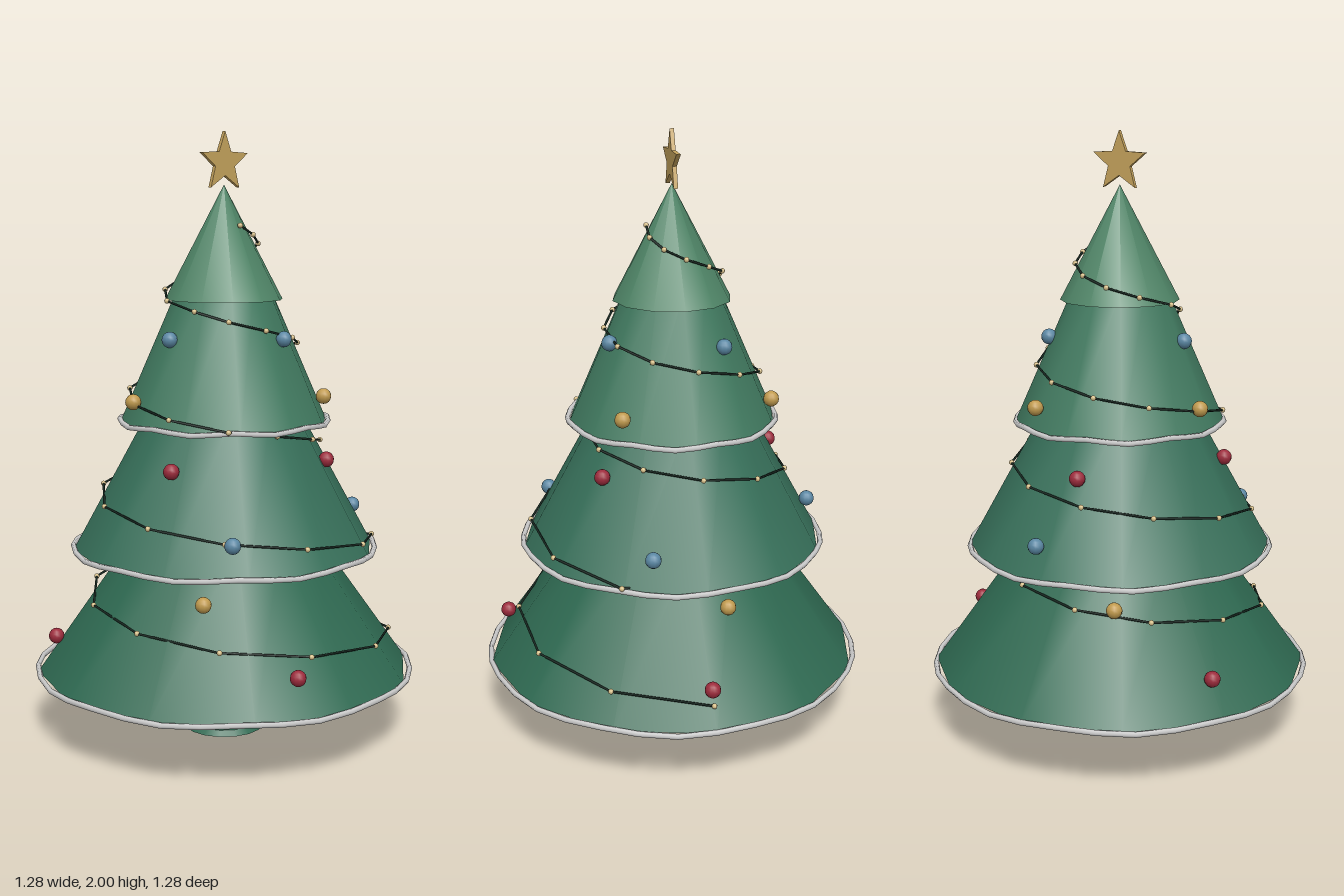
import * as THREE from 'three';

// Tiers from bottom to top: base height, base radius, top height, top radius
const TIERS = [
  { y: 0.22, r: 0.63, top: 0.70, topR: 0.288, color: 0x2f6a52, trim: true },
  { y: 0.635, r: 0.505, top: 1.12, topR: 0.238, color: 0x37705a, trim: true },
  { y: 1.06, r: 0.345, top: 1.50, topR: 0.152, color: 0x417a60, trim: true },
  { y: 1.46, r: 0.195, top: 1.83, topR: 0, color: 0x4f8567, trim: false },
];

const mat = (color) => new THREE.MeshStandardMaterial({ color });

function add(parent, name, geometry, material, x = 0, y = 0, z = 0) {
  const mesh = new THREE.Mesh(geometry, material);
  mesh.name = name;
  mesh.position.set(x, y, z);
  parent.add(mesh);
  return mesh;
}

function addGroup(parent, name) {
  const group = new THREE.Group();
  group.name = name;
  parent.add(group);
  return group;
}

// Radius of the outermost foliage at a height
function foliageRadius(y) {
  const t = TIERS.filter((tier) => y >= tier.y).pop();
  return THREE.MathUtils.mapLinear(y, t.y, t.top, t.r, t.topR);
}

// Closed ring that gently waves up and down
class WavyRing extends THREE.Curve {
  constructor(radius, height) {
    super();
    this.radius = radius;
    this.height = height;
  }
  getPoint(t, target = new THREE.Vector3()) {
    const a = t * Math.PI * 2;
    return target.set(
      Math.sin(a) * this.radius,
      this.height + 0.005 * Math.sin(a * 8),
      Math.cos(a) * this.radius
    );
  }
}

function starShape(outer, inner) {
  const points = [];
  for (let i = 0; i < 10; i++) {
    const a = Math.PI / 2 + (i * Math.PI) / 5;
    const r = i % 2 ? inner : outer;
    points.push(new THREE.Vector2(Math.cos(a) * r, Math.sin(a) * r));
  }
  return new THREE.Shape(points);
}

// Wire wound around the tree, with a bead at every bend
function buildGarland(parent) {
  const garland = addGroup(parent, 'garland');
  const wire = mat(0x16261f);
  const beadMat = mat(0xd8c08a);
  const bead = new THREE.SphereGeometry(0.009, 8, 6);
  const steps = 47;
  const turns = 4.25;
  let last = null;
  for (let i = 0; i <= steps; i++) {
    const t = i / steps;
    const a = t * turns * Math.PI * 2;
    const y = 1.70 - 1.405 * t;
    const r = foliageRadius(y) + 0.015;
    const p = new THREE.Vector3(Math.sin(a) * r, y, Math.cos(a) * r);
    add(garland, 'bead', bead, beadMat, p.x, p.y, p.z);
    if (last) {
      const dir = p.clone().sub(last);
      const mid = p.clone().add(last).multiplyScalar(0.5);
      const strand = add(garland, 'wire',
        new THREE.CylinderGeometry(0.004, 0.004, dir.length(), 5), wire, mid.x, mid.y, mid.z);
      strand.quaternion.setFromUnitVectors(new THREE.Vector3(0, 1, 0), dir.normalize());
    }
    last = p;
  }
}

// Round ornaments in rows: height, colour, [x, z] of each
function buildOrnaments(parent) {
  const red = mat(0x9c2b3c);
  const gold = mat(0xc09a4e);
  const blue = mat(0x5a87a3);
  const ball = new THREE.SphereGeometry(0.026, 12, 8);
  const rows = [
    [1.34, blue, [[0.07, 0.22], [-0.23, 0.01], [0.195, -0.125]]],
    [1.14, gold, [[-0.325, -0.06], [0.25, 0.215], [0.14, -0.3]]],
    [0.94, red, [[0.21, 0.275], [-0.32, 0.135], [-0.04, -0.345]]],
    [0.74, blue, [[-0.27, 0.38], [0.44, 0.16], [0.04, -0.465]]],
    [0.54, gold, [[-0.31, 0.285], [0.41, -0.09], [-0.19, -0.375]]],
    [0.34, red, [[0.57, 0], [-0.15, 0.55], [-0.49, -0.285]]],
  ];
  const group = addGroup(parent, 'ornaments');
  for (const [y, material, spots] of rows) {
    for (const [x, z] of spots) add(group, 'ornament', ball, material, x, y, z);
  }
}

export function createModel() {
  const tree = new THREE.Group();
  tree.name = 'decoratedTree';

  // Ground skirt and trunk
  add(tree, 'baseDisc', new THREE.CylinderGeometry(0.12, 0.135, 0.018, 16), mat(0x2f6a52), 0, 0.011, 0);
  add(tree, 'trunk', new THREE.CylinderGeometry(0.058, 0.075, 0.3, 12), mat(0x7a5c42), 0, 0.15, 0);

  // Foliage tiers with wavy trim on their lower edges
  const trimMat = mat(0xcccccc);
  for (const t of TIERS) {
    const h = t.top - t.y;
    add(tree, 'foliageTier', new THREE.CylinderGeometry(t.topR, t.r, h, 12), mat(t.color), 0, t.y + h / 2, 0);
    if (t.trim) {
      add(tree, 'tierTrim', new THREE.TubeGeometry(new WavyRing(t.r, t.y + 0.003), 32, 0.009, 6, true), trimMat);
    }
  }

  buildGarland(tree);
  buildOrnaments(tree);

  // Star on top
  const star = new THREE.ExtrudeGeometry(starShape(0.099, 0.042), { depth: 0.014, bevelEnabled: false });
  star.translate(0, 0, -0.007);
  add(tree, 'topStar', star, mat(0xc4a25c), 0, 1.901, 0);

  return tree;
}
